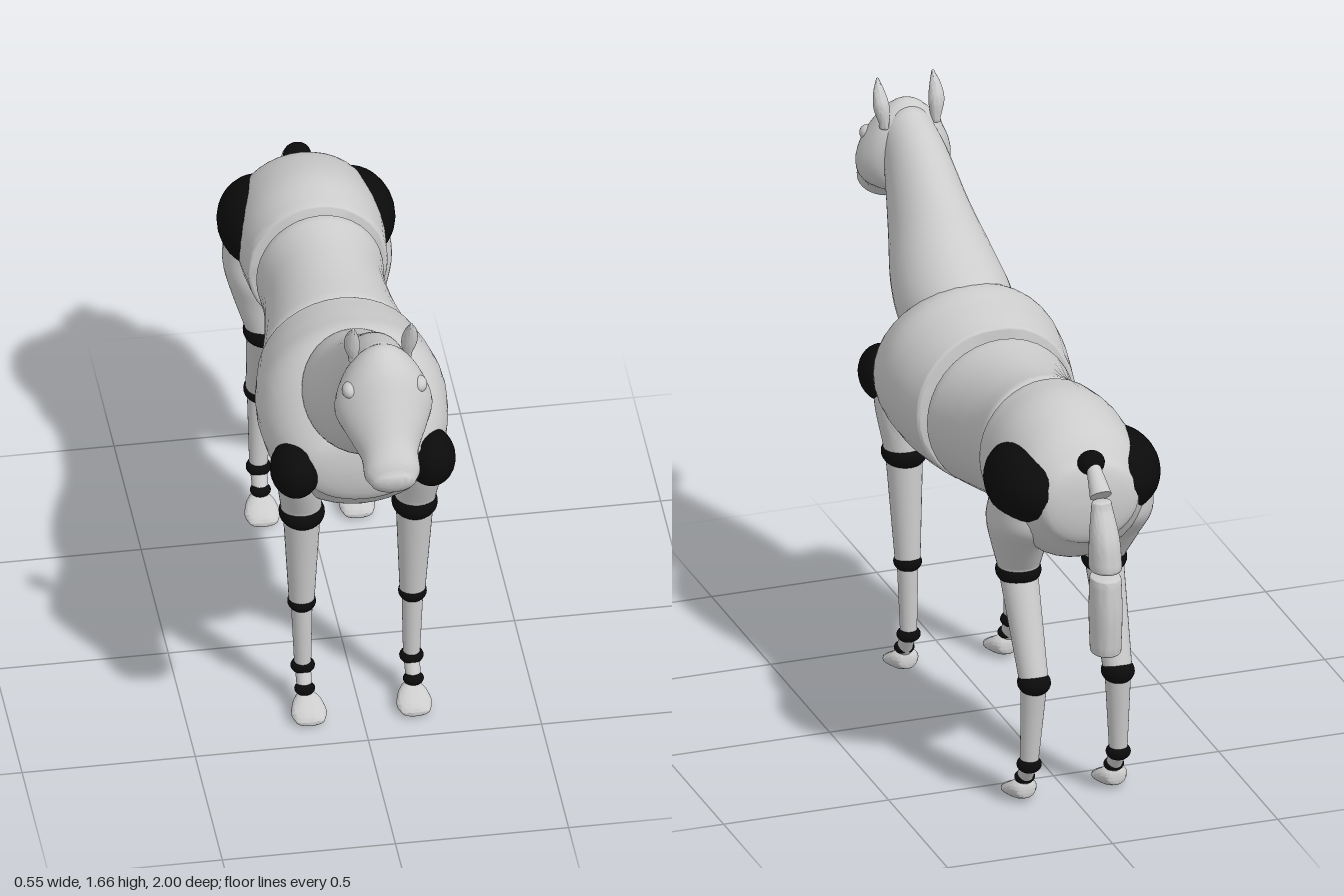
import * as THREE from 'three';
import { toCreasedNormals } from 'three/addons/utils/BufferGeometryUtils.js';

const SIDES = 36;
const V = (x, y, z) => new THREE.Vector3(x, y, z);

// Skin over elliptical sections [topY, topZ, bottomY, bottomZ, halfWidth, narrowing towards top, centreX].
// Ends are rounded by caps [length, share of the radius rounded off].
function loft(sections, startCap, endCap, steps = 6) {
  const n = sections.length - 1;
  const curve = (f) => new THREE.CatmullRomCurve3(sections.map(f), false, 'catmullrom');
  const tops = curve((s) => V(s[4], s[0], s[1]));
  const bottoms = curve((s) => V(s[5] || 0, s[2], s[3]));
  const centres = curve((s) => V(s[6] || 0, 0, 0));
  const rings = [];
  for (let i = 0; i <= n * steps; i++) {
    const t = i / (n * steps);
    const a = tops.getPoint(t), b = bottoms.getPoint(t), x = centres.getPoint(t).x;
    rings.push({
      c: V(x, (a.y + b.y) / 2, (a.z + b.z) / 2),
      up: V(0, (a.y - b.y) / 2, (a.z - b.z) / 2), w: a.x, k: b.x,
    });
  }
  const cap = (ring, sign, [length, share]) => {
    const dir = V(1, 0, 0).cross(ring.up).normalize().multiplyScalar(sign * length);
    return [1, 2, 3, 4, 5, 6].map((i) => {
      const a = i / 6 * Math.PI / 2, s = 1 - share * (1 - Math.cos(a));
      return {
        c: ring.c.clone().addScaledVector(dir, Math.sin(a)),
        up: ring.up.clone().multiplyScalar(s), w: ring.w * s, k: ring.k,
      };
    });
  };
  const all = [...cap(rings[0], -1, startCap).reverse(), ...rings, ...cap(rings[rings.length - 1], 1, endCap)];
  const pos = [], index = [];
  for (const r of all) {
    for (let j = 0; j < SIDES; j++) {
      const t = j / SIDES * Math.PI * 2, s = Math.sin(t);
      pos.push(r.c.x + r.w * Math.cos(t) * (1 - r.k * s), r.c.y + r.up.y * s, r.c.z + r.up.z * s);
    }
  }
  for (let i = 0; i < all.length - 1; i++) {
    for (let j = 0; j < SIDES; j++) {
      const a = i * SIDES + j, b = i * SIDES + (j + 1) % SIDES;
      index.push(a, b, a + SIDES, b, b + SIDES, a + SIDES);
    }
  }
  // Close both ends
  const first = pos.length / 3, last = (all.length - 1) * SIDES;
  pos.push(...all[0].c.toArray(), ...all[all.length - 1].c.toArray());
  for (let j = 0; j < SIDES; j++) {
    const k = (j + 1) % SIDES;
    index.push(first, k, j, first + 1, last + j, last + k);
  }
  const g = new THREE.BufferGeometry();
  g.setAttribute('position', new THREE.Float32BufferAttribute(pos, 3));
  g.setIndex(index);
  return toCreasedNormals(g, 0.8);
}

export function createModel() {
  const grey = new THREE.MeshStandardMaterial({ name: 'light grey', color: 0xcccccc });
  const black = new THREE.MeshStandardMaterial({ name: 'joint black', color: 0x0b0b0b });
  const model = new THREE.Group();
  model.name = 'jointedHorse';

  const add = (name, geometry, material = grey) => {
    const mesh = new THREE.Mesh(geometry, material);
    mesh.name = name;
    model.add(mesh);
    return mesh;
  };
  const ball = (name, [x, y, z], [rx, ry, rz], material = black) => {
    const mesh = add(name, new THREE.SphereGeometry(1, 28, 18), material);
    mesh.position.set(x, y, z);
    mesh.scale.set(rx, ry, rz);
    return mesh;
  };
  const limb = (name, p, q, r1, r2) => {
    const a = V(...p), b = V(...q), d = b.clone().sub(a);
    const mesh = add(name, new THREE.CylinderGeometry(r2, r1, d.length(), 28));
    mesh.position.copy(a).add(b).multiplyScalar(0.5);
    mesh.quaternion.setFromUnitVectors(V(0, 1, 0), d.normalize());
  };
  const rim = [0.012, 0.05];
  const upright = (top, bottom, z, w, k = 0) => [top, z, bottom, z, w, k];

  // Trunk in three blocks
  add('hindquarters', loft([
    upright(1.115, 0.86, -0.805, 0.15), upright(1.18, 0.79, -0.74, 0.195), upright(1.215, 0.765, -0.65, 0.21),
    upright(1.23, 0.765, -0.55, 0.212), upright(1.215, 0.785, -0.44, 0.203),
  ], [0.035, 1], rim));
  add('barrel', loft([
    upright(1.205, 0.79, -0.395, 0.184), upright(1.188, 0.765, -0.3, 0.178),
    upright(1.178, 0.738, -0.18, 0.194), upright(1.176, 0.716, -0.055, 0.224),
  ], rim, rim));
  add('chest', loft([
    upright(1.2, 0.708, -0.006, 0.242), upright(1.225, 0.7, 0.1, 0.265), upright(1.24, 0.7, 0.2, 0.273),
    upright(1.19, 0.715, 0.3, 0.26), upright(1.12, 0.755, 0.38, 0.225), upright(1.05, 0.81, 0.43, 0.18),
  ], rim, [0.035, 1]));

  // Neck and head
  add('neck', loft([
    [1.17, 0.12, 0.95, 0.38, 0.14], [1.245, 0.2, 0.995, 0.465, 0.165], [1.32, 0.33, 1.065, 0.56, 0.152],
    [1.42, 0.46, 1.17, 0.65, 0.12], [1.525, 0.6, 1.29, 0.71, 0.096], [1.575, 0.72, 1.37, 0.74, 0.08],
  ], rim, rim));
  add('head', loft([
    [1.535, 0.68, 1.36, 0.66, 0.075, 0.1], [1.59, 0.75, 1.32, 0.69, 0.115, 0.2],
    [1.55, 0.82, 1.305, 0.75, 0.137, 0.25], [1.47, 0.875, 1.285, 0.805, 0.115, 0.2],
    [1.39, 0.925, 1.24, 0.865, 0.083, 0.05], [1.335, 0.97, 1.22, 0.915, 0.08, 0],
    [1.305, 0.985, 1.225, 0.95, 0.066, 0],
  ], [0.02, 1], [0.025, 1]));

  // Tail
  ball('tailJoint', [0, 1.115, -0.818], [0.04, 0.036, 0.034]);
  limb('tailRoot', [0, 1.11, -0.835], [0, 1.045, -0.9], 0.02, 0.032);
  add('upperTail', loft([
    [1.02, -0.883, 1.02, -0.93, 0.03], [0.93, -0.88, 0.93, -0.978, 0.043], [0.845, -0.883, 0.845, -0.994, 0.047],
  ], [0.012, 0.2], [0.012, 0.1]));
  add('lowerTail', loft([
    [0.8, -0.884, 0.8, -0.994, 0.045], [0.7, -0.88, 0.7, -1, 0.047], [0.588, -0.887, 0.588, -0.994, 0.044],
  ], [0.012, 0.1], [0.012, 0.15]));

  for (const [side, s] of [['left', 1], ['right', -1]]) {
    const n = (part) => side + part;

    // Eye and ear
    ball(n('Eye'), [s * 0.1, 1.477, 0.797], [0.023, 0.024, 0.028], grey);
    add(n('Ear'), loft([
      [1.535, 0.7, 1.535, 0.735, 0.014, 0, s * 0.078], [1.59, 0.703, 1.575, 0.748, 0.023, 0, s * 0.083],
      [1.63, 0.725, 1.62, 0.757, 0.017, 0, s * 0.085], [1.658, 0.752, 1.657, 0.762, 0.005, 0, s * 0.084],
    ], rim, [0.006, 1]));

    // Foreleg
    ball(n('ShoulderJoint'), [s * 0.195, 0.912, 0.395], [0.072, 0.084, 0.09]);
    add(n('UpperArm'), loft([
      [0.89, 0.43, 0.89, 0.285, 0.055, 0, s * 0.18], [0.82, 0.412, 0.82, 0.258, 0.062, 0, s * 0.175],
      [0.72, 0.372, 0.72, 0.248, 0.059, 0, s * 0.165],
    ], [0.02, 0.5], rim));
    ball(n('ElbowJoint'), [s * 0.163, 0.697, 0.311], [0.066, 0.046, 0.073]);
    limb(n('Forearm'), [s * 0.163, 0.69, 0.311], [s * 0.16, 0.37, 0.29], 0.054, 0.037);
    ball(n('KneeJoint'), [s * 0.16, 0.362, 0.29], [0.041, 0.03, 0.043]);
    limb(n('ForeCannon'), [s * 0.16, 0.36, 0.29], [s * 0.157, 0.13, 0.29], 0.031, 0.024);
    ball(n('ForeFetlock'), [s * 0.157, 0.133, 0.29], [0.035, 0.024, 0.032]);
    limb(n('ForePastern'), [s * 0.157, 0.13, 0.292], [s * 0.157, 0.07, 0.328], 0.023, 0.022);
    ball(n('ForeHoofJoint'), [s * 0.157, 0.077, 0.327], [0.03, 0.02, 0.026]);

    // Hind leg
    ball(n('HipJoint'), [s * 0.13, 1.012, -0.655], [0.126, 0.12, 0.165]);
    add(n('Thigh'), loft([
      [0.95, -0.53, 0.95, -0.765, 0.085, 0, s * 0.155], [0.88, -0.505, 0.88, -0.755, 0.09, 0, s * 0.152],
      [0.8, -0.507, 0.8, -0.692, 0.079, 0, s * 0.142], [0.71, -0.506, 0.71, -0.627, 0.061, 0, s * 0.13],
    ], [0.03, 0.6], rim));
    ball(n('StifleJoint'), [s * 0.13, 0.695, -0.564], [0.066, 0.046, 0.069]);
    limb(n('Gaskin'), [s * 0.13, 0.69, -0.564], [s * 0.127, 0.4, -0.686], 0.056, 0.042);
    ball(n('HockJoint'), [s * 0.127, 0.392, -0.689], [0.048, 0.037, 0.053]);
    limb(n('HindCannon'), [s * 0.127, 0.39, -0.689], [s * 0.135, 0.13, -0.67], 0.038, 0.026);
    ball(n('HindFetlock'), [s * 0.135, 0.13, -0.67], [0.036, 0.026, 0.036]);
    limb(n('HindPastern'), [s * 0.135, 0.13, -0.668], [s * 0.135, 0.07, -0.63], 0.025, 0.023);
    ball(n('HindHoofJoint'), [s * 0.135, 0.075, -0.632], [0.03, 0.021, 0.027]);

    // Hooves
    for (const [part, x, z] of [['ForeHoof', 0.152, 0], ['HindHoof', 0.137, -0.96]]) {
      add(n(part), loft([
        [0.063, 0.318, 0.014, 0.31, 0.03], [0.066, 0.342, 0.002, 0.34, 0.043],
        [0.048, 0.375, 0, 0.378, 0.051], [0.031, 0.405, 0.003, 0.41, 0.041],
      ], [0.008, 1], [0.011, 1])).position.set(s * x, 0, z);
    }
  }
  return model;
}
